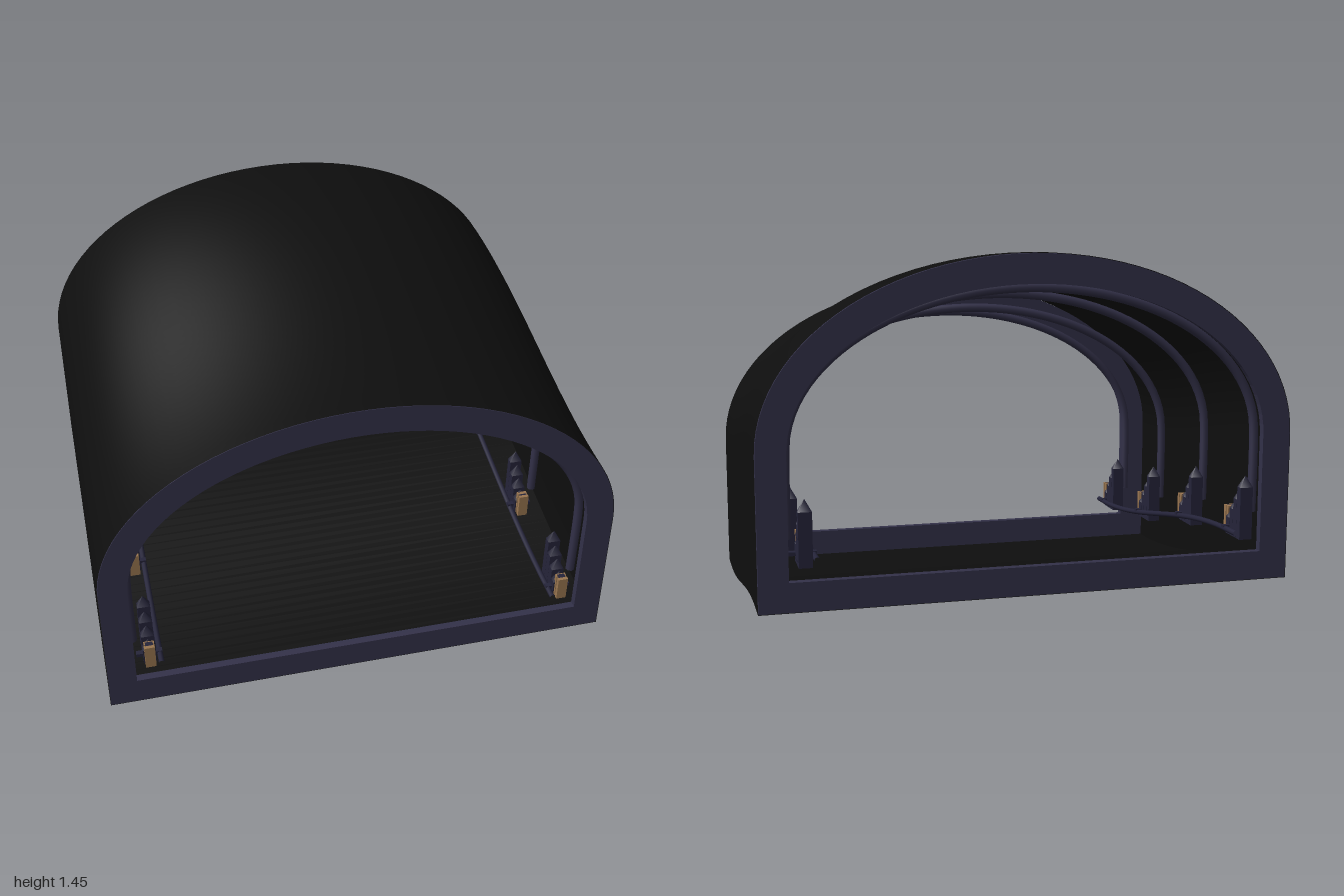
import * as THREE from 'three';

const HALF = 0.78;      // half length of the tunnel
const SPRING = 0.56;    // height where the vault starts to curve
const material = (name, color, side = THREE.FrontSide) => {
  const m = new THREE.MeshStandardMaterial({ color, side });
  m.name = name;
  return m;
};

// Height of the S-shaped climb at depth z
const rise = (z) => 0.1 * (1 - Math.sin((Math.PI * THREE.MathUtils.clamp(z, -HALF, HALF)) / (2 * HALF)));

// Arch outline: straight walls below a half ellipse, from +x over to -x
function archPoints(halfWidth, bottom, top, steps = 48) {
  const pts = [new THREE.Vector2(halfWidth, bottom)];
  for (let i = 0; i <= steps; i++) {
    const a = (Math.PI * i) / steps;
    pts.push(new THREE.Vector2(halfWidth * Math.cos(a), SPRING + (top - SPRING) * Math.sin(a)));
  }
  pts.push(new THREE.Vector2(-halfWidth, bottom));
  return pts;
}

// Sweep an open outline along the climbing tunnel
function sweep(points, rows = 40) {
  const pos = [], index = [], n = points.length;
  for (let r = 0; r <= rows; r++) {
    const z = -HALF + (2 * HALF * r) / rows;
    for (const p of points) pos.push(p.x, p.y + rise(z), z);
  }
  for (let r = 0; r < rows; r++) {
    for (let i = 0; i < n - 1; i++) {
      const a = r * n + i, b = a + 1, c = a + n, d = c + 1;
      index.push(a, b, c, b, d, c);
    }
  }
  const g = new THREE.BufferGeometry();
  g.setAttribute('position', new THREE.Float32BufferAttribute(pos, 3));
  g.setIndex(index);
  g.computeVertexNormals();
  return g;
}

export function createModel() {
  const model = new THREE.Group();
  model.name = 'tunnel';
  const black = material('shellBlack', 0x0e0e0e, THREE.DoubleSide);
  const blue = material('frameBlue', 0x333149);
  const dark = material('spireBlue', 0x25243a);
  const tan = material('lampTan', 0x9a7650);

  const add = (parent, name, geometry, mat, x = 0, y = 0, z = 0) => {
    const mesh = new THREE.Mesh(geometry, mat);
    mesh.name = name;
    mesh.position.set(x, y, z);
    parent.add(mesh);
    return mesh;
  };

  // Thin outer shell: vault and floor
  add(model, 'vault', sweep(archPoints(1, 0, 1.245)), black);
  add(model, 'floor', sweep([new THREE.Vector2(-1, 0), new THREE.Vector2(1, 0)]), black);

  // Portal frames closing the wall thickness at both ends
  const portal = new THREE.Shape(archPoints(0.998, 0.002, 1.243));
  portal.holes.push(new THREE.Path(archPoints(0.89, 0.11, 1.135)));
  const portalGeometry = new THREE.ExtrudeGeometry(portal, { depth: 0.03, bevelEnabled: false });
  add(model, 'frontFrame', portalGeometry, blue, 0, rise(HALF), HALF - 0.03);
  add(model, 'backFrame', portalGeometry, blue, 0, rise(-HALF), -HALF);

  // Arched ribs inside the vault
  const stations = [-0.7, -0.235, 0.235, 0.7];
  const ribPath = new THREE.CatmullRomCurve3(
    archPoints(0.888, 0.25, 1.12, 24).map((p) => new THREE.Vector3(p.x, p.y, 0)));
  const ribGeometry = new THREE.TubeGeometry(ribPath, 72, 0.018, 8);
  for (const z of stations) add(model, 'rib', ribGeometry, blue, 0, rise(z), z);

  // Pointed spire: square shaft with a pyramid tip
  const spire = (parent, z, top) => {
    const base = 0.16, tip = 0.045;
    add(parent, 'spireShaft', new THREE.BoxGeometry(0.05, top - tip - base, 0.03), dark, 0, (top - tip + base) / 2, z);
    const cone = new THREE.ConeGeometry(Math.SQRT1_2, 1, 4).rotateY(Math.PI / 4).scale(0.05, tip, 0.03);
    add(parent, 'spireTip', cone, dark, 0, top - tip / 2, z);
  };

  for (const side of [-1, 1]) {
    // Handrail following the climb
    const railPoints = [];
    for (let i = 0; i <= 12; i++) {
      const z = -HALF + (2 * HALF * i) / 12;
      railPoints.push(new THREE.Vector3(side * 0.79, 0.185 + rise(z), z));
    }
    add(model, 'rail', new THREE.TubeGeometry(new THREE.CatmullRomCurve3(railPoints), 48, 0.011, 8), dark);

    // Stepped spire clusters, each with a tan lamp and a wall bracket
    for (const z of stations) {
      const cluster = new THREE.Group();
      cluster.name = 'spireCluster';
      cluster.position.set(side * 0.83, rise(z), z);
      [0.405, 0.355, 0.31, 0.27].forEach((top, i) => spire(cluster, -0.065 + i * 0.031, top));
      add(cluster, 'lampCore', new THREE.BoxGeometry(0.03, 0.1, 0.02), dark, 0, 0.215, 0.05);
      for (const dz of [0.044, 0.066]) {
        add(cluster, 'lampSlat', new THREE.BoxGeometry(0.04, 0.1, 0.016), tan, 0, 0.215, dz);
      }
      add(cluster, 'bracket', new THREE.BoxGeometry(0.1, 0.014, 0.02), dark, 0, 0.19, 0.02);
      model.add(cluster);
    }
  }
  return model;
}
